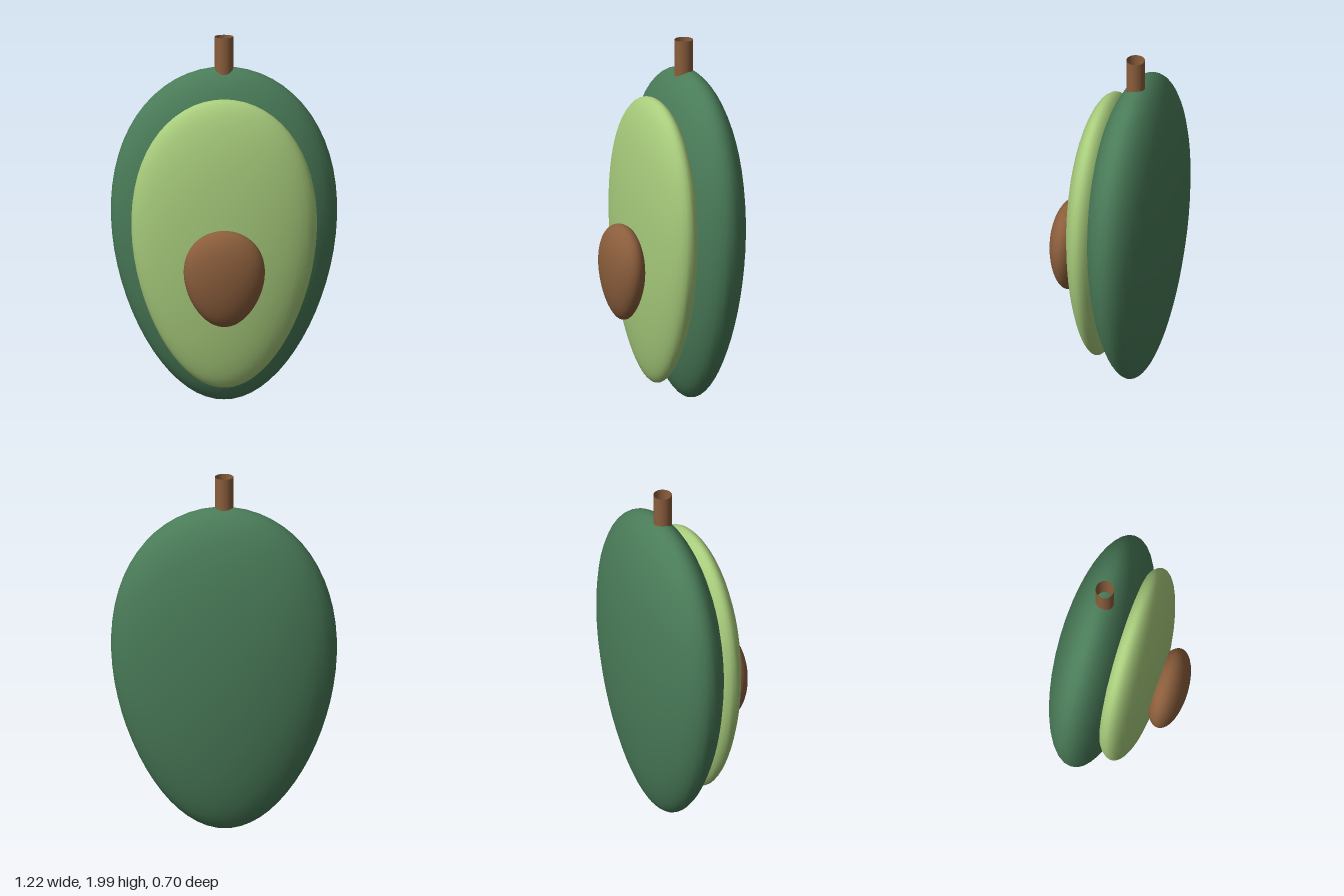
import * as THREE from 'three';

const material = (name, color, side = THREE.FrontSide) => {
  const m = new THREE.MeshStandardMaterial({ color, side });
  m.name = name;
  return m;
};

// Flattened egg: an ellipsoid that is fuller above the middle than below
function egg(name, mat, [rx, ry, rz], [x, y, z], taper = 0.15) {
  const g = new THREE.SphereGeometry(1, 40, 32);
  const p = g.attributes.position;
  for (let i = 0; i < p.count; i++) {
    const t = p.getY(i);
    const s = 1 + taper * t;
    p.setXYZ(i, p.getX(i) * s * rx, t * ry, p.getZ(i) * s * rz);
  }
  // Slope-corrected normals keep the seam smooth
  const n = g.attributes.normal;
  const v = new THREE.Vector3();
  for (let i = 0; i < p.count; i++) {
    const t = p.getY(i) / ry;
    const s = 1 + taper * t;
    const ux = p.getX(i) / (rx * s), uz = p.getZ(i) / (rz * s);
    v.set(ux / (s * rx), (t - taper * (1 - t * t) / s) / ry, uz / (s * rz)).normalize();
    n.setXYZ(i, v.x, v.y, v.z);
  }
  const mesh = new THREE.Mesh(g, mat);
  mesh.name = name;
  mesh.position.set(x, y, z);
  return mesh;
}

export function createModel() {
  const model = new THREE.Group();
  model.name = 'avocadoHalf';

  const skin = material('skin green', 0x4a7c59);
  const pulp = material('flesh green', 0xa8cc7c);
  const brown = material('seed brown', 0x8b5e3c, THREE.DoubleSide);

  // Skin, flesh and seed, layered from back to front
  model.add(
    egg('skin', skin, [0.602, 0.912, 0.218], [0, 0.92, -0.131]),
    egg('flesh', pulp, [0.494, 0.79, 0.143], [0, 0.9, 0.063]),
    egg('seed', brown, [0.216, 0.263, 0.099], [0, 0.743, 0.25]),
  );

  // Hollow stem
  const stem = new THREE.Mesh(new THREE.CylinderGeometry(0.05, 0.05, 0.2, 24, 1, true), brown);
  stem.name = 'stem';
  stem.position.set(0, 1.9, -0.115);
  model.add(stem);

  return model;
}
